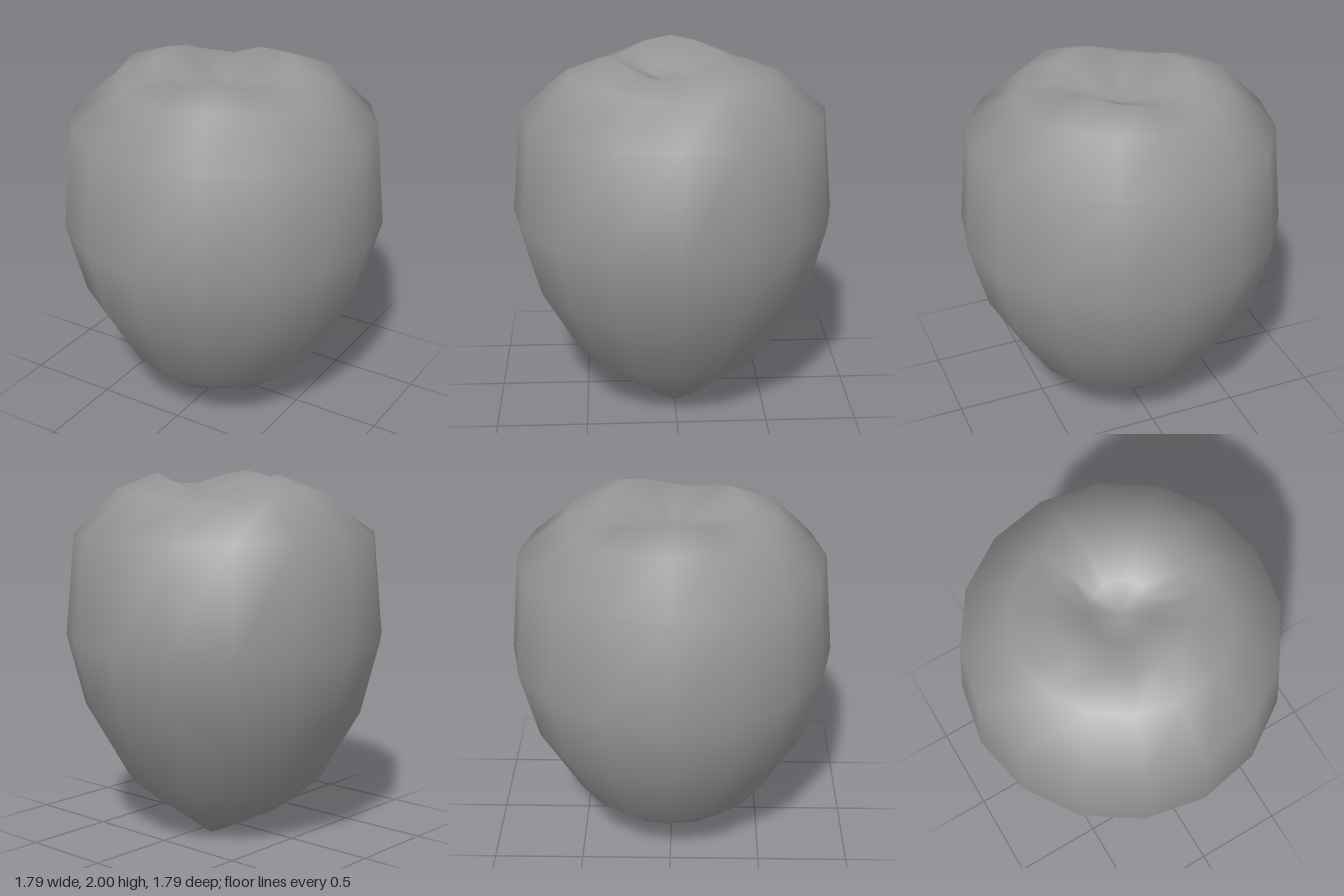
import * as THREE from 'three';

const SIDES = 16;

// Height of the shoulder crest around the fruit: three peaks and three dips (0 = dip, 1 = peak)
const CREST = [0, 0, 0.6, 1, 0.6, 0, 0, 0.65, 1, 0.65, 0, -0.3, 0.4, 0.6, 1, 0.6];

// Three feet of the base over half a turn, mirrored front to back (1 = foot, -1 = hollow)
const FEET = [1, 0.4, -0.7, -0.9, 0, 0.95, 0.2, -0.5, -0.9];

// Rings from base to stem hollow: radius, height, share of feet, share of crest, bulge under peaks
const RINGS = [
  [0.12, 0.03, -0.015, 0, 0],
  [0.24, 0.04, -0.04, 0, 0],
  [0.375, 0.135, -0.015, 0, 0],
  [0.56, 0.3, 0, 0, 0],
  [0.79, 0.7, 0, 0, 0],
  [0.893, 1.1, 0, 0, 0],
  [0.84, 1.67, 0, 0, 0],
  [0.555, 1.865, 0, 0.055, 0.035],
  [0.37, 1.93, 0, 0.07, 0],
  [0.17, 1.855, 0, 0.04, 0],
];

function fruitGeometry() {
  const positions = [0, 0.05, 0];
  const index = [];
  for (const [radius, height, foot, crest, bulge] of RINGS) {
    for (let i = 0; i < SIDES; i++) {
      const a = (i / SIDES) * Math.PI * 2;
      const r = radius + bulge * CREST[i];
      const y = height + foot * FEET[Math.min(i, SIDES - i)] + crest * CREST[i];
      positions.push(r * Math.cos(a), y, r * Math.sin(a));
    }
  }
  const top = positions.length / 3;
  positions.push(0, 1.815, 0);

  const last = RINGS.length - 1;
  for (let i = 0; i < SIDES; i++) {
    const j = (i + 1) % SIDES;
    // base dimple and stem hollow
    index.push(0, 1 + i, 1 + j);
    index.push(top, 1 + last * SIDES + j, 1 + last * SIDES + i);
    // skin between neighbouring rings
    for (let k = 0; k < last; k++) {
      const a = 1 + k * SIDES + i, b = 1 + k * SIDES + j;
      index.push(a, a + SIDES, b, b, a + SIDES, b + SIDES);
    }
  }
  const geometry = new THREE.BufferGeometry();
  geometry.setAttribute('position', new THREE.Float32BufferAttribute(positions, 3));
  geometry.setIndex(index);
  geometry.computeVertexNormals();
  return geometry;
}

export function createModel() {
  const group = new THREE.Group();
  group.name = 'apple';
  const fruit = new THREE.Mesh(fruitGeometry(), new THREE.MeshStandardMaterial({ color: 0x969696 }));
  fruit.name = 'fruitBody';
  group.add(fruit);
  return group;
}
